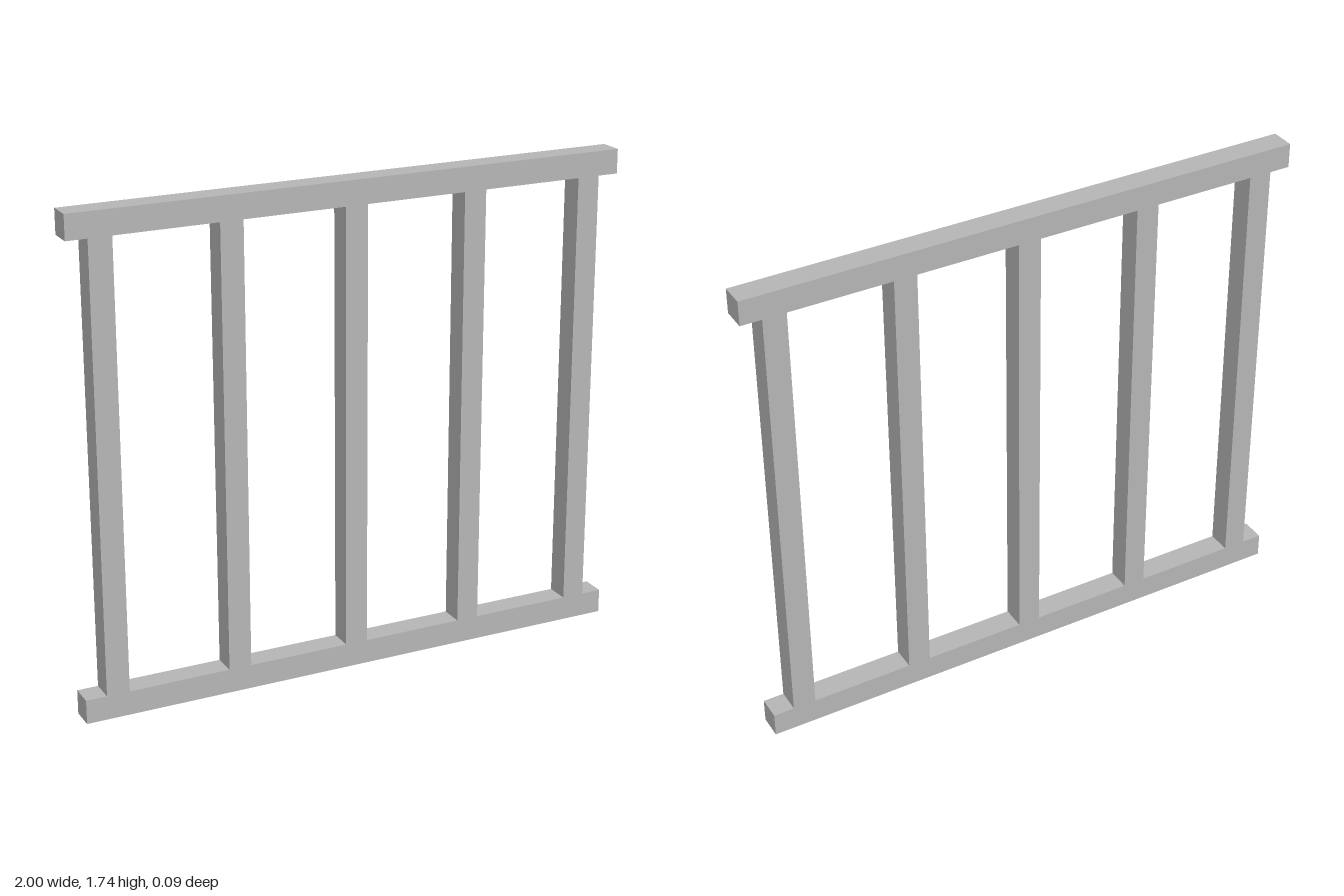
import * as THREE from 'three';

export function createModel() {
  const model = new THREE.Group();
  model.name = 'railing';
  const grey = new THREE.MeshStandardMaterial({ color: 0xb8b8b8 });
  grey.name = 'grey';

  const height = 1.74, rail = 0.086, depth = 0.086;

  function addBar(name, width, tall, x, y) {
    const bar = new THREE.Mesh(new THREE.BoxGeometry(width, tall, depth), grey);
    bar.name = name;
    bar.position.set(x, y, 0);
    model.add(bar);
  }

  // Horizontal rails
  addBar('bottomRail', 2, rail, 0, rail / 2);
  addBar('topRail', 2, rail, 0, height - rail / 2);

  // Five evenly spaced posts between the rails
  for (let i = -2; i <= 2; i++) {
    addBar(`post${i + 3}`, 0.081, height - 2 * rail, i * 0.443, height / 2);
  }
  return model;
}
